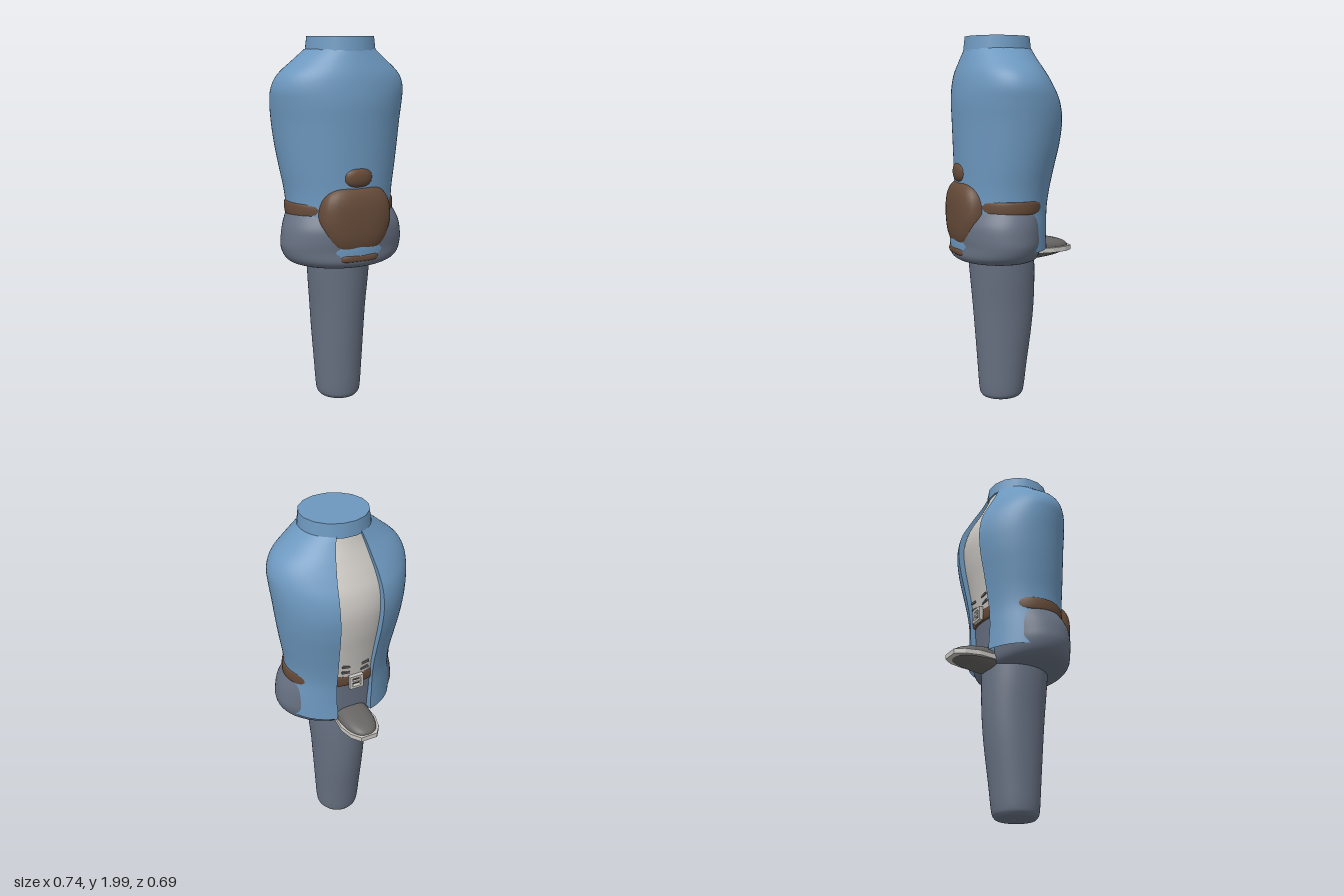
import * as THREE from 'three';

const paint = (name, color, side = THREE.FrontSide) =>
  Object.assign(new THREE.MeshStandardMaterial({ color, side }), { name });

// Smoothly resample rows of [y, halfWidth, zFront, zBack, gap]
function sample(rows, steps) {
  const a = new THREE.CatmullRomCurve3(rows.map(r => new THREE.Vector3(r[0], r[1], r[2])), false, 'catmullrom', 0.5);
  const b = new THREE.CatmullRomCurve3(rows.map(r => new THREE.Vector3(r[3], r[4] || 0, 0)), false, 'catmullrom', 0.5);
  return Array.from({ length: steps + 1 }, (_, i) => {
    const p = a.getPoint(i / steps), q = b.getPoint(i / steps);
    return { y: p.x, w: p.y, mid: (p.z + q.x) / 2, d: (p.z - q.x) / 2, gap: q.y };
  });
}

// Skin a list of cross-sections, each a list of [x, y, z]
function skin(sections, closed) {
  const n = sections[0].length, index = [];
  for (let i = 0; i < sections.length - 1; i++) {
    for (let j = 0; j < (closed ? n : n - 1); j++) {
      const a = i * n + j, b = i * n + (j + 1) % n;
      index.push(a, b, b + n, a, b + n, a + n);
    }
  }
  const g = new THREE.BufferGeometry();
  g.setAttribute('position', new THREE.Float32BufferAttribute(sections.flat(2), 3));
  g.setIndex(index);
  g.computeVertexNormals();
  return g;
}

const around = (r, a) => [r.w * Math.sin(a), r.y, r.mid + r.d * Math.cos(a)];

// Closed oval body
function loft(rows, steps = 40, seg = 56) {
  return skin(sample(rows, steps).map(r =>
    Array.from({ length: seg }, (_, j) => around(r, j / seg * Math.PI * 2))), true);
}

// Sphere squared off by exponent n, then scaled
function pillow(n, sx, sy, sz, taper = 0) {
  const g = new THREE.SphereGeometry(1, 40, 28), p = g.attributes.position;
  for (let i = 0; i < p.count; i++) {
    const x = p.getX(i), y = p.getY(i), z = p.getZ(i);
    const k = (Math.abs(x) ** n + Math.abs(y) ** n + Math.abs(z) ** n) ** (-1 / n);
    p.setXYZ(i, x * k * sx * (1 + taper * Math.min(0, y * k)), y * k * sy, z * k * sz);
  }
  g.computeVertexNormals();
  return g;
}

export function createModel() {
  const model = new THREE.Group();
  const blue = paint('jacketBlue', 0x6d98bf, THREE.DoubleSide);
  const slate = paint('trouserSlate', 0x677182);
  const brown = paint('leatherBrown', 0x664b39);
  const pale = paint('paleGrey', 0xc9c6c1);
  const dark = paint('shoeGrey', 0x666563);
  const add = (name, geo, mat, x = 0, y = 0, z = 0) => {
    const m = new THREE.Mesh(geo, mat);
    m.name = name;
    m.position.set(x, y, z);
    model.add(m);
    return m;
  };

  // Jacket, open down the -z side
  const jacket = sample([
    [0.87, 0.312, 0.332, -0.185, 0.10], [0.93, 0.312, 0.332, -0.183, 0.10],
    [1.0, 0.305, 0.315, -0.183, 0.105], [1.1, 0.295, 0.307, -0.188, 0.105],
    [1.2, 0.302, 0.305, -0.203, 0.105], [1.32, 0.323, 0.307, -0.228, 0.11],
    [1.44, 0.342, 0.31, -0.255, 0.115], [1.56, 0.357, 0.313, -0.267, 0.12],
    [1.66, 0.368, 0.315, -0.25, 0.12], [1.74, 0.368, 0.308, -0.21, 0.113],
    [1.81, 0.335, 0.295, -0.17, 0.10], [1.88, 0.255, 0.272, -0.132, 0.085],
    [1.935, 0.187, 0.252, -0.108, 0.068]], 60);
  const edge = r => Math.PI - Math.asin(r.gap / r.w);
  add('jacket', skin(jacket.map(r => Array.from({ length: 65 }, (_, j) =>
    around(r, (j / 32 - 1) * edge(r)))), false), blue);
  for (const s of [-1, 1]) {
    add(s > 0 ? 'jacketEdgeLeft' : 'jacketEdgeRight', skin(jacket.map(r => {
      const [x, y, z] = around(r, s * edge(r));
      return [[x, y, z], [x - s * 0.006, y, z + 0.05]];
    }), false), blue);
  }

  // Collar
  const collar = new THREE.CylinderGeometry(0.18, 0.189, 0.075, 16);
  collar.rotateY(Math.PI / 16).scale(1, 1, 0.97);
  add('collar', collar, blue, 0, 1.9625, 0.075);

  // Shirt showing in the opening
  add('shirt', loft([
    [1.1, 0.23, 0.2, -0.165], [1.2, 0.24, 0.2, -0.18], [1.32, 0.25, 0.2, -0.203],
    [1.44, 0.26, 0.2, -0.228], [1.56, 0.27, 0.2, -0.24], [1.66, 0.27, 0.2, -0.223],
    [1.74, 0.26, 0.2, -0.185], [1.81, 0.24, 0.2, -0.147], [1.88, 0.19, 0.2, -0.113],
    [1.94, 0.15, 0.2, -0.092]]), pale);
  for (const x of [-0.055, 0.055]) {
    for (const y of [1.175, 1.215]) {
      const crease = add('shirtCrease', new THREE.BoxGeometry(0.045, 0.012, 0.009), dark, x, y, -0.173 - (y - 1.175) * 0.17);
      crease.rotation.z = Math.sign(x) * 0.15;
    }
  }

  // Trousers: hips and the single tapered leg
  add('hips', loft([
    [0.797, 0.001, 0.09, 0.088], [0.799, 0.16, 0.24, -0.07], [0.808, 0.26, 0.30, -0.115],
    [0.84, 0.318, 0.328, -0.135], [0.9, 0.344, 0.327, -0.142], [0.96, 0.342, 0.332, -0.146],
    [1.02, 0.33, 0.328, -0.15], [1.08, 0.304, 0.3, -0.155], [1.12, 0.28, 0.27, -0.157]], 48), slate);
  add('leg', loft([
    [0.006, 0.001, 0.056, 0.054], [0.008, 0.085, 0.145, -0.035], [0.022, 0.113, 0.17, -0.06],
    [0.06, 0.125, 0.18, -0.072], [0.2, 0.134, 0.19, -0.09], [0.4, 0.145, 0.205, -0.118],
    [0.55, 0.153, 0.217, -0.131], [0.7, 0.165, 0.23, -0.134], [0.84, 0.172, 0.242, -0.13]], 48), slate);

  // Belt and buckle
  add('belt', loft([
    [1.079, 0.28, 0.26, -0.14], [1.08, 0.304, 0.293, -0.165],
    [1.14, 0.305, 0.293, -0.17], [1.141, 0.28, 0.26, -0.14]], 24), brown);
  const frame = new THREE.Shape([[-0.04, -0.04], [0.04, -0.04], [0.04, 0.04], [-0.04, 0.04]].map(p => new THREE.Vector2(...p)));
  frame.holes.push(new THREE.Path([[-0.024, -0.026], [-0.024, 0.026], [0.024, 0.026], [0.024, -0.026]].map(p => new THREE.Vector2(...p))));
  add('buckle', new THREE.ExtrudeGeometry(frame, { depth: 0.022, bevelEnabled: false }), pale, 0, 1.11, -0.196);
  add('bucklePin', new THREE.BoxGeometry(0.05, 0.01, 0.012), pale, 0, 1.11, -0.186);

  // Pouch on the +z side with a bedroll-like knob
  add('pouch', pillow(2.9, 0.203, 0.195, 0.105, 0.22), brown, 0, 1.052, 0.24);
  add('pouchBase', pillow(4, 0.115, 0.022, 0.06), brown, 0, 0.862, 0.275);
  add('pouchKnob', pillow(2.3, 0.083, 0.058, 0.045), brown, 0, 1.285, 0.278);

  // Foot pointing towards -z: angular sole and rounded upper
  const half = [[0.08, 0], [0.1, 0.15], [0.105, 0.22], [0.084, 0.3], [0.047, 0.35]];
  const outline = [...half, ...half.map(([x, z]) => [-x, z]).reverse()];
  const sole = new THREE.ExtrudeGeometry(new THREE.Shape(outline.map(p => new THREE.Vector2(...p))),
    { depth: 0.027, bevelEnabled: false });
  add('sole', sole.rotateX(-Math.PI / 2), pale, 0, 0.826, 0);
  const upper = pillow(2.5, 0.093, 0.062, 0.19);
  const p = upper.attributes.position;
  for (let i = 0; i < p.count; i++) p.setY(i, p.getY(i) * (1 + p.getZ(i) * 1.5));
  upper.computeVertexNormals();
  add('shoeUpper', upper, dark, 0, 0.85, -0.15);

  return model;
}
